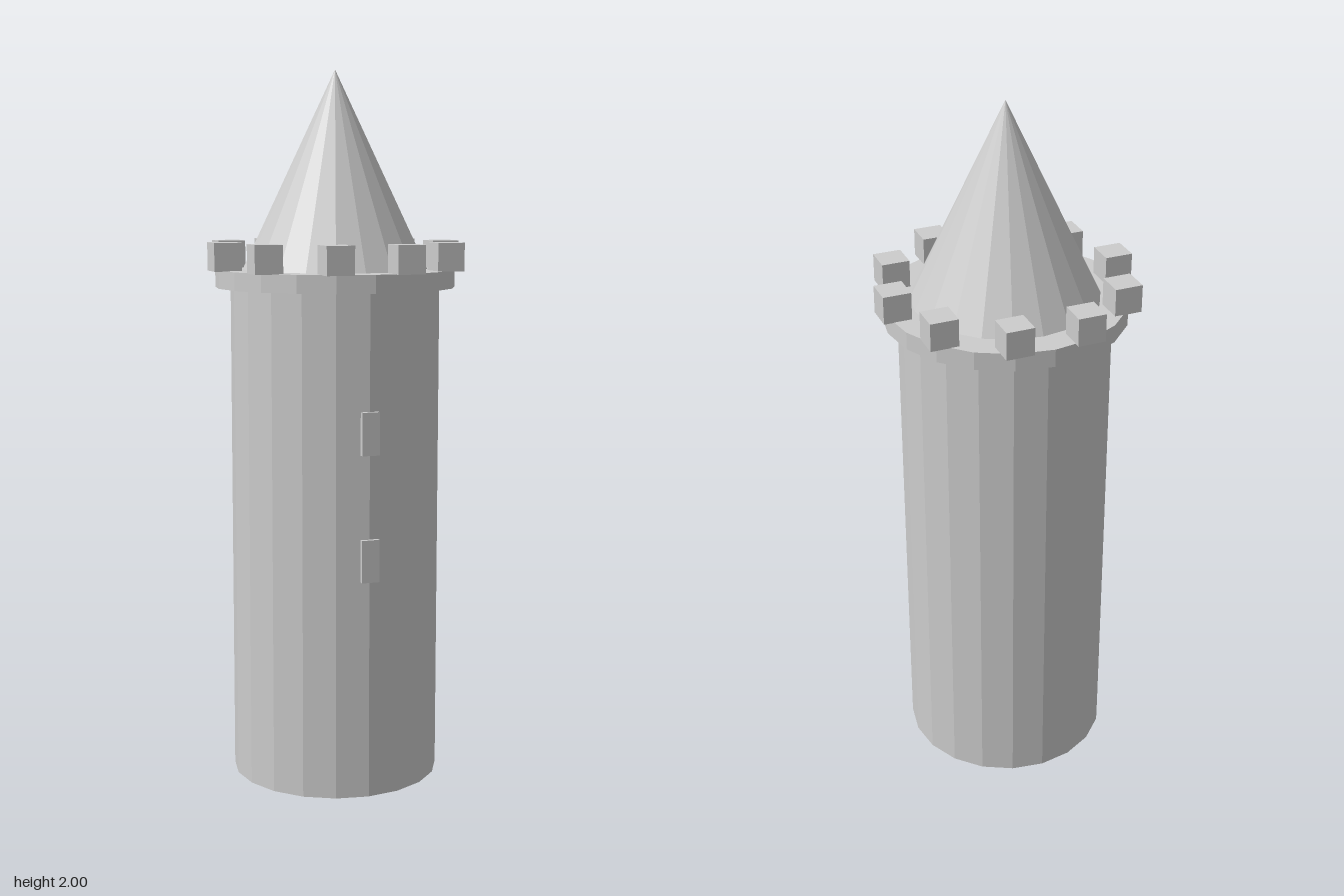
import * as THREE from 'three';

const SIDES = 20;

export function createModel() {
  const tower = new THREE.Group();
  tower.name = 'tower';
  const stone = new THREE.MeshStandardMaterial({
    name: 'stone grey', color: 0xcccccc, flatShading: true, side: THREE.DoubleSide,
  });

  const add = (name, geometry, x, y, z) => {
    const mesh = new THREE.Mesh(geometry, stone);
    mesh.name = name;
    mesh.position.set(x, y, z);
    tower.add(mesh);
  };

  // Hollow shaft, open at the foot
  add('shaft', new THREE.CylinderGeometry(0.295, 0.295, 1.4, SIDES, 1, true), 0, 0.7, 0);

  // Overhanging parapet ledge and pointed roof
  add('ledge', new THREE.CylinderGeometry(0.338, 0.338, 0.05, SIDES), 0, 1.425, 0);
  add('roof', new THREE.ConeGeometry(0.26, 0.55, SIDES), 0, 1.725, 0);

  // Ring of square merlons, all aligned to the axes
  const merlon = new THREE.BoxGeometry(0.078, 0.078, 0.078);
  for (let i = 0; i < 10; i++) {
    const a = (i / 10) * Math.PI * 2;
    add('merlon', merlon, 0.321 * Math.cos(a), 1.488, 0.321 * Math.sin(a));
  }

  // Two slit windows on the front
  const slit = new THREE.BoxGeometry(0.05, 0.118, 0.02);
  for (const y of [0.672, 1.022]) add('window', slit, 0, y, 0.295);

  return tower;
}
